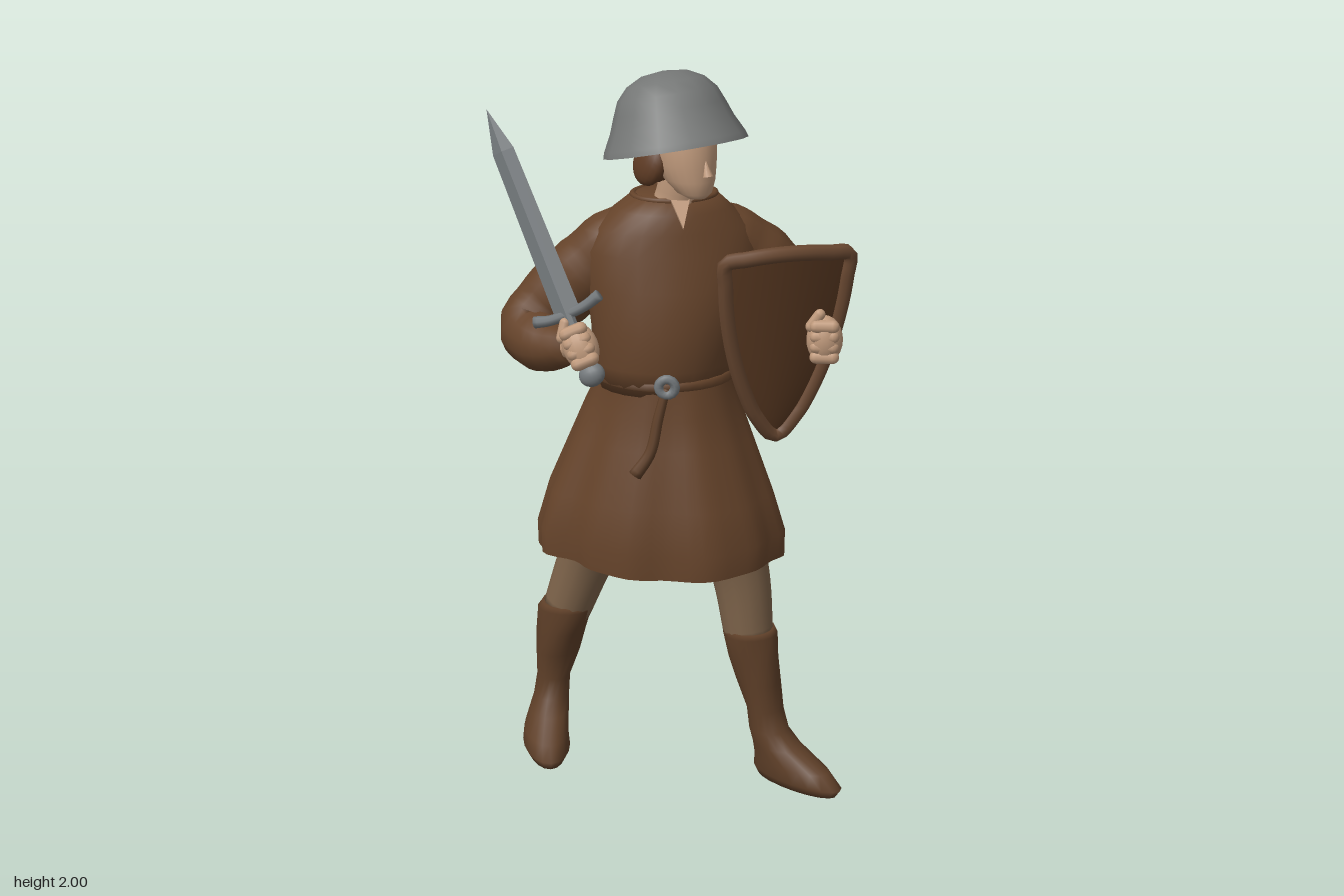
import * as THREE from 'three';
import { ParametricGeometry } from 'three/addons/geometries/ParametricGeometry.js';

const V = (x, y, z) => new THREE.Vector3(x, y, z);
const mat = (name, color, side = THREE.FrontSide) => {
  const m = new THREE.MeshStandardMaterial({ color, side });
  m.name = name;
  return m;
};

// Skin a stack of rings (each an array of Vector3), closing the ends if wanted
function skin(rings, capStart = true, capEnd = true) {
  const n = rings[0].length, pos = [], idx = [];
  rings.forEach(r => r.forEach(p => pos.push(p.x, p.y, p.z)));
  for (let i = 0; i < rings.length - 1; i++)
    for (let j = 0; j < n; j++) {
      const a = i * n + j, b = i * n + (j + 1) % n, c = a + n, d = b + n;
      idx.push(a, c, b, b, c, d);
    }
  const cap = (ring, base, flip) => {
    const c = ring.reduce((s, p) => s.add(p), V(0, 0, 0)).divideScalar(n), k = pos.length / 3;
    pos.push(c.x, c.y, c.z);
    for (let j = 0; j < n; j++) {
      const a = base + j, b = base + (j + 1) % n;
      flip ? idx.push(k, b, a) : idx.push(k, a, b);
    }
  };
  if (capStart) cap(rings[0], 0, false);
  if (capEnd) cap(rings[rings.length - 1], (rings.length - 1) * n, true);
  const g = new THREE.BufferGeometry();
  g.setAttribute('position', new THREE.Float32BufferAttribute(pos, 3));
  g.setIndex(idx);
  g.computeVertexNormals();
  return g;
}

// Horizontal elliptical rings [x, y, z, r1, r2]; r1 lies along heading (dx, dz)
function loft(rows, [dx, dz] = [1, 0], { n = 24, warp = () => [1, 0], caps = [true, true] } = {}) {
  return skin(rows.map(([x, y, z, r1, r2], i) => Array.from({ length: n }, (_, j) => {
    const a = j / n * Math.PI * 2, [k, lift] = warp(a, i);
    const u = Math.cos(a) * r1 * k, v = Math.sin(a) * r2 * k;
    return V(x + u * dx - v * dz, y + lift, z + u * dz + v * dx);
  })), ...caps);
}

// Round limb along a smooth path with a radius at each point
function limb(points, radii, { n = 14, steps = 18, crease = 0 } = {}) {
  const curve = new THREE.CatmullRomCurve3(points.map(p => V(...p)));
  const f = curve.computeFrenetFrames(steps), rings = [];
  for (let i = 0; i <= steps; i++) {
    const u = i / steps, s = curve.getUtoTmapping(u) * (radii.length - 1);
    const k = Math.min(Math.floor(s), radii.length - 2);
    const r = THREE.MathUtils.lerp(radii[k], radii[k + 1], s - k) * (1 + crease * Math.sin(i * 1.7));
    const c = curve.getPointAt(u);
    rings.push(Array.from({ length: n }, (_, j) => {
      const a = j / n * Math.PI * 2;
      return c.clone().addScaledVector(f.binormals[i], Math.cos(a) * r).addScaledVector(f.normals[i], Math.sin(a) * r);
    }));
  }
  return skin(rings);
}

const faceted = g => { const f = g.toNonIndexed(); f.computeVertexNormals(); return f; };

export function createModel() {
  const root = new THREE.Group();
  root.name = 'swordsman';
  const cloth = mat('tunicBrown', 0x65432a, THREE.DoubleSide), leather = mat('bootLeather', 0x5e3f28);
  const wool = mat('hoseTan', 0x7d634a), flesh = mat('skin', 0xc09a7c), hairMat = mat('hairBrown', 0x5e3b24);
  const steel = mat('helmetGrey', 0x757776, THREE.DoubleSide), bladeMat = mat('swordGrey', 0x73787b);
  const board = mat('shieldBrown', 0x583821, THREE.DoubleSide), edge = mat('shieldRim', 0x694831);
  const add = (name, geo, m, parent = root) => {
    const o = new THREE.Mesh(geo, m);
    o.name = name;
    parent.add(o);
    return o;
  };
  const ball = (name, m, [x, y, z], [a, b, c], parent) => {
    const o = add(name, new THREE.SphereGeometry(1, 18, 12), m, parent);
    o.position.set(x, y, z);
    o.scale.set(a, b, c);
    return o;
  };

  // Tunic body, turned a little to its left
  const twist = [Math.cos(0.24), -Math.sin(0.24)];
  add('tunicBody', loft([
    [-0.02, 1.15, -0.015, 0.18, 0.155], [-0.02, 1.22, -0.015, 0.192, 0.168], [-0.01, 1.32, -0.02, 0.208, 0.17],
    [0, 1.43, -0.035, 0.232, 0.165], [0, 1.52, -0.048, 0.235, 0.152], [0, 1.58, -0.045, 0.205, 0.138],
    [0, 1.63, -0.04, 0.155, 0.118], [0.005, 1.668, -0.035, 0.112, 0.092]], twist), cloth);
  const collar = add('collar', new THREE.TorusGeometry(0.1, 0.008, 8, 24).rotateX(Math.PI / 2).scale(1.1, 1, 0.9), cloth);
  collar.position.set(0.005, 1.664, -0.035);
  collar.rotation.y = 0.24;

  // Neck slit
  const slit = new THREE.Shape([[-0.025, 0.03], [0, -0.05], [0.025, 0.03]].map(p => new THREE.Vector2(...p)));
  const slitMesh = add('neckOpening', new THREE.ExtrudeGeometry(slit, { depth: 0.008, bevelEnabled: false }), flesh);
  slitMesh.position.set(0.03, 1.642, 0.071);
  slitMesh.rotation.set(-0.6, 0.24, 0, 'YXZ');

  // Flared skirt, pulled along the stride, with folds growing toward the hem
  const fold = [1, 0.95, 0.75, 0.5, 0.35, 0.2, 0];
  add('tunicSkirt', loft([
    [-0.04, 0.65, 0, 0.328, 0.23], [-0.04, 0.72, 0, 0.33, 0.231], [-0.037, 0.85, -0.005, 0.3, 0.224],
    [-0.03, 1.0, -0.03, 0.243, 0.203], [-0.025, 1.09, -0.028, 0.21, 0.185],
    [-0.02, 1.15, -0.02, 0.187, 0.165], [-0.02, 1.19, -0.015, 0.18, 0.155]], [1, 0], {
    n: 64, caps: [false, false],
    warp: (a, i) => [1 + fold[i] * (0.035 * Math.sin(7 * a + 0.6) + 0.02 * Math.sin(12 * a) + 0.11 * Math.sin(2 * a)),
      i < 2 ? 0.03 * Math.sin(a) + 0.018 * Math.cos(2 * a) : 0]
  }), cloth);

  // Belt, knot and hanging end
  add('belt', loft([[-0.02, 1.165, -0.017, 0.18, 0.155], [-0.02, 1.17, -0.017, 0.19, 0.167],
    [-0.02, 1.19, -0.017, 0.19, 0.167], [-0.02, 1.195, -0.017, 0.18, 0.155]], [1, 0], { n: 32 }), cloth);
  const buckle = add('beltBuckle', new THREE.TorusGeometry(0.022, 0.013, 8, 14), bladeMat);
  buckle.position.set(-0.002, 1.187, 0.158);
  add('beltEnd', limb([[-0.005, 1.18, 0.152], [-0.025, 1.1, 0.164], [-0.045, 1.01, 0.18], [-0.085, 0.95, 0.193]],
    [0.012, 0.014, 0.015, 0.018], { n: 8 }), leather);

  // Sleeves, running up under the collar so the shoulders slope
  add('rightSleeve', limb([[-0.05, 1.575, -0.035], [-0.14, 1.53, -0.04], [-0.235, 1.44, -0.05], [-0.345, 1.335, -0.05],
    [-0.378, 1.285, -0.02], [-0.325, 1.27, 0.07], [-0.255, 1.29, 0.14]],
  [0.075, 0.096, 0.102, 0.092, 0.09, 0.075, 0.045], { crease: 0.02, steps: 24 }), cloth);
  add('leftSleeve', limb([[0.05, 1.575, -0.055], [0.135, 1.53, -0.09], [0.23, 1.45, -0.13], [0.312, 1.345, -0.142],
    [0.335, 1.29, -0.11], [0.375, 1.29, -0.03], [0.395, 1.31, 0.04]],
  [0.075, 0.096, 0.104, 0.095, 0.088, 0.07, 0.042], { crease: 0.02, steps: 24 }), cloth);

  // Hands, gripping around an axis
  const fist = (name, pos, axis, wrist) => {
    const g = new THREE.Group();
    g.name = name;
    g.position.set(...pos);
    g.quaternion.setFromUnitVectors(V(0, 1, 0), axis);
    ball('palm', flesh, [0, 0, 0], [0.048, 0.066, 0.042], g);
    for (let i = 0; i < 4; i++) {
      const f = add('finger', new THREE.CapsuleGeometry(0.018, 0.042, 4, 8).rotateZ(Math.PI / 2), flesh, g);
      f.position.set(0, -0.042 + i * 0.028, 0.022);
    }
    const thumb = add('thumb', new THREE.CapsuleGeometry(0.015, 0.04, 4, 8), flesh, g);
    thumb.position.set(-0.025, 0.055, 0.01);
    thumb.rotation.z = -0.6;
    root.add(g);
    add(name + 'Wrist', limb([wrist, pos], [0.037, 0.035], { n: 10, steps: 3 }), flesh);
  };
  const swordDir = V(-0.225, 0.5, -0.18).normalize();
  fist('rightHand', [-0.228, 1.3, 0.172], swordDir, [-0.29, 1.28, 0.11]);
  fist('leftHand', [0.41, 1.32, 0.135], V(0, 1, 0), [0.395, 1.305, 0.02]);

  // Sword
  const sword = new THREE.Group();
  sword.name = 'sword';
  sword.position.set(-0.262, 1.38, 0.148);
  sword.quaternion.setFromUnitVectors(V(0, 1, 0), swordDir);
  sword.rotateY(-0.2);
  root.add(sword);
  const part = (name, r1, r2, h, sides, y, flat) =>
    add(name, faceted(new THREE.CylinderGeometry(r1, r2, h, sides).scale(1, 1, flat)), bladeMat, sword).position.y = y;
  part('blade', 0.031, 0.037, 0.46, 4, 0.23, 0.42);
  part('bladeTip', 0, 0.031, 0.12, 4, 0.52, 0.42);
  part('grip', 0.016, 0.016, 0.17, 8, -0.08, 1);
  add('crossguard', limb([[-0.095, 0.015, 0], [-0.05, 0.003, 0], [0.05, 0.003, 0], [0.1, 0.015, 0]],
    [0.016, 0.014, 0.014, 0.016], { n: 8 }), bladeMat, sword);
  ball('pommel', bladeMat, [0, -0.17, 0], [0.036, 0.032, 0.025], sword);

  // Curved shield, pointed at the bottom
  const shieldPoint = (u, v) => {
    const w = 0.168 * Math.pow(Math.sin(v * Math.PI / 2), 0.64);
    return V(0.283 + 0.028 * v + u * w * 0.94, 1.025 + 0.51 * v + 0.025 * v * (1 - u * u),
      0.055 + 0.112 * Math.pow(v, 0.7) - u * w * 0.36 - 0.24 * w * u * u);
  };
  add('shieldBoard', new ParametricGeometry((u, v, t) => t.copy(shieldPoint(u * 2 - 1, v)), 14, 18), board);
  const rim = [shieldPoint(0, 0)];
  for (let i = 1; i <= 8; i++) rim.push(shieldPoint(1, i / 8));
  for (let i = 1; i < 6; i++) rim.push(shieldPoint(1 - i / 3, 1));
  for (let i = 8; i > 0; i--) rim.push(shieldPoint(-1, i / 8));
  add('shieldRim', new THREE.TubeGeometry(new THREE.CatmullRomCurve3(rim, true), 80, 0.021, 8, true), edge);

  // Legs and boots
  add('leftLeg', limb([[0.215, 0.42, 0.012], [0.19, 0.6, 0], [0.12, 0.85, 0]], [0.068, 0.08, 0.1]), wool);
  add('rightLeg', limb([[-0.305, 0.42, -0.143], [-0.24, 0.6, -0.12], [-0.13, 0.85, -0.04]], [0.068, 0.08, 0.1]), wool);
  const boot = (name, rows, dir) => add(name, loft(rows, dir,
    { n: 18, warp: (a, i) => [i > 4 ? 1 + 0.03 * Math.sin(3 * a + i * 2) : 1, 0] }), leather);
  boot('leftBoot', [[0.355, 0.005, 0.088, 0.135, 0.045], [0.357, 0.03, 0.09, 0.15, 0.058], [0.34, 0.065, 0.075, 0.125, 0.058],
    [0.3, 0.11, 0.05, 0.078, 0.056], [0.275, 0.15, 0.035, 0.057, 0.053], [0.262, 0.21, 0.03, 0.052, 0.05],
    [0.245, 0.29, 0.022, 0.063, 0.06], [0.23, 0.36, 0.017, 0.07, 0.068], [0.217, 0.43, 0.012, 0.077, 0.074],
    [0.215, 0.445, 0.012, 0.072, 0.07]], [0.79, 0.61]);
  boot('rightBoot', [[-0.363, 0.005, -0.085, 0.135, 0.052], [-0.363, 0.03, -0.085, 0.15, 0.066], [-0.365, 0.065, -0.103, 0.128, 0.062],
    [-0.36, 0.11, -0.14, 0.082, 0.056], [-0.354, 0.15, -0.155, 0.06, 0.05], [-0.347, 0.21, -0.16, 0.052, 0.047],
    [-0.335, 0.29, -0.155, 0.064, 0.062], [-0.322, 0.36, -0.148, 0.072, 0.07], [-0.308, 0.43, -0.143, 0.08, 0.077],
    [-0.305, 0.445, -0.143, 0.074, 0.072]], [0.19, 0.98]);

  // Head, turned to its left
  add('neck', limb([[0.01, 1.62, -0.01], [0.02, 1.68, 0.005], [0.03, 1.76, 0.015]], [0.068, 0.06, 0.06]), flesh);
  const head = new THREE.Group();
  head.name = 'head';
  head.position.set(0.03, 0, 0.03);
  head.rotation.y = 0.7;
  root.add(head);
  add('face', loft([[0, 1.684, 0.062, 0.025, 0.028], [0, 1.697, 0.052, 0.045, 0.05], [0, 1.73, 0.03, 0.064, 0.076],
    [0, 1.77, 0.015, 0.075, 0.09], [0, 1.82, 0.008, 0.08, 0.095], [0, 1.9, 0, 0.07, 0.085]]), flesh, head);
  const nose = add('nose', new THREE.ConeGeometry(0.014, 0.05, 8), flesh, head);
  nose.position.set(0, 1.772, 0.106);
  nose.rotation.x = -0.25;
  ball('hair', hairMat, [0, 1.79, -0.05], [0.102, 0.092, 0.09], head);
  for (const s of [-1, 1]) {
    const lock = ball('hairLock', hairMat, [s * 0.078, 1.765, -0.037], [0.03, 0.06, 0.055], head);
    lock.rotation.set(0.3, 0, s * 0.25);
  }

  // Helmet, tipped back
  const profile = [[0.192, -0.012], [0.187, 0.005], [0.164, 0.05], [0.148, 0.092], [0.132, 0.13], [0.103, 0.162], [0.06, 0.184], [0.001, 0.191]];
  const helmet = add('helmet', new THREE.LatheGeometry(profile.map(p => new THREE.Vector2(...p)), 14), steel);
  helmet.position.set(0.01, 1.808, 0.006);
  helmet.rotation.set(-0.25, 0.75, 0, 'YXZ');
  return root;
}
